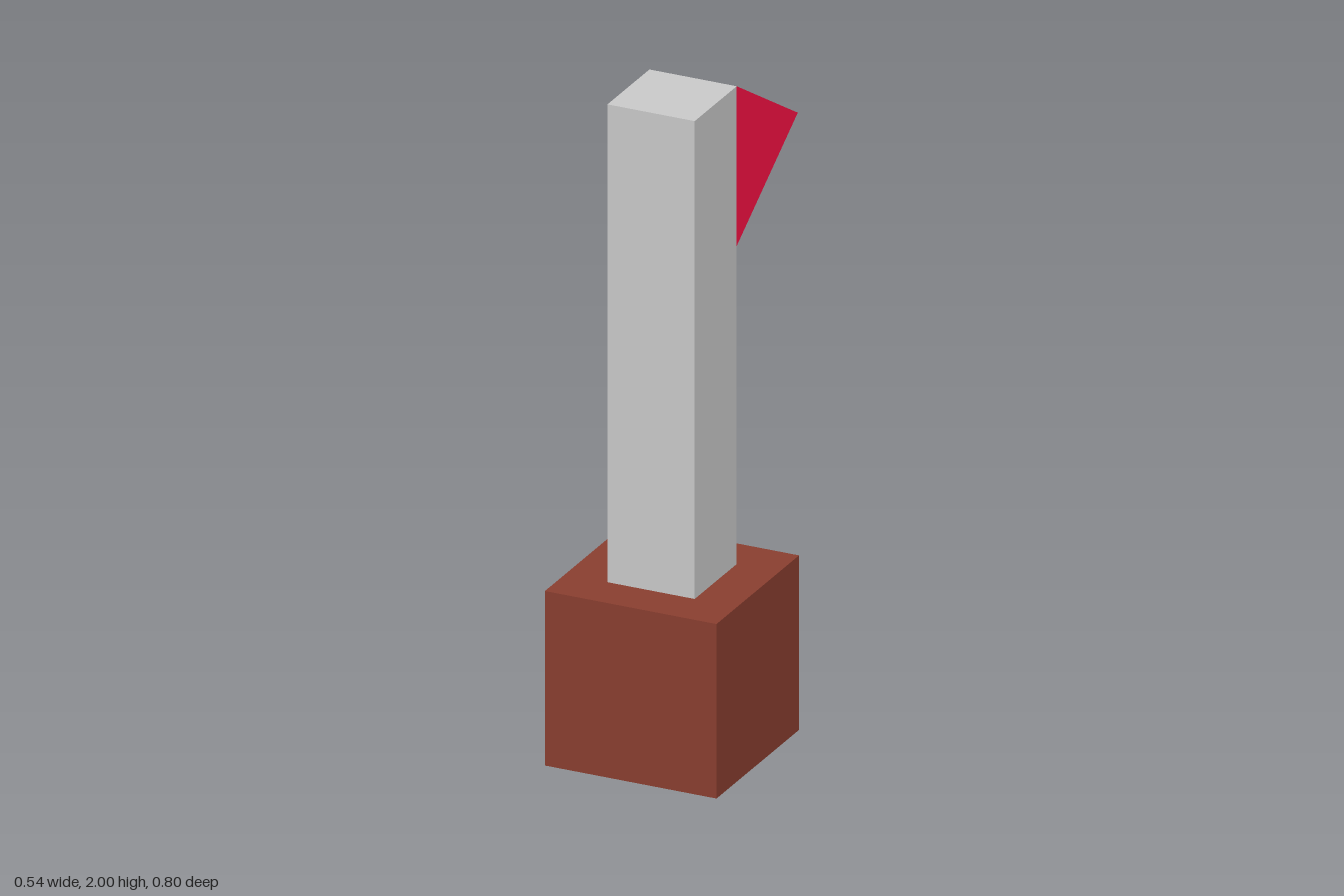
import * as THREE from 'three';

const material = (color) => new THREE.MeshStandardMaterial({ color, flatShading: true });

function addPart(group, name, geometry, color, x, y, z) {
  const mesh = new THREE.Mesh(geometry, material(color));
  mesh.name = name;
  mesh.position.set(x, y, z);
  group.add(mesh);
}

export function createModel() {
  const group = new THREE.Group();
  group.name = 'flagPost';

  // Block the post stands on
  const baseSize = 0.535;
  addPart(group, 'base', new THREE.BoxGeometry(baseSize, baseSize, baseSize), 0x8b3f30, 0, baseSize / 2, 0.1325);

  // Square post, standing on the base
  const postWidth = 0.272;
  const postHeight = 2 - baseSize;
  addPart(group, 'post', new THREE.BoxGeometry(postWidth, postHeight, postWidth), 0xcccccc, 0, baseSize + postHeight / 2, 0.132);

  // Triangular flag pointing backward, as wide as the post
  const triangle = new THREE.Shape([
    new THREE.Vector2(0, 1.51),
    new THREE.Vector2(0.396, 1.763),
    new THREE.Vector2(0, 2),
  ]);
  const flag = new THREE.ExtrudeGeometry(triangle, { depth: postWidth, bevelEnabled: false });
  flag.translate(0, 0, -postWidth / 2).rotateY(Math.PI / 2);
  addPart(group, 'flag', flag, 0xff1146, 0, 0, -0.004);

  return group;
}
